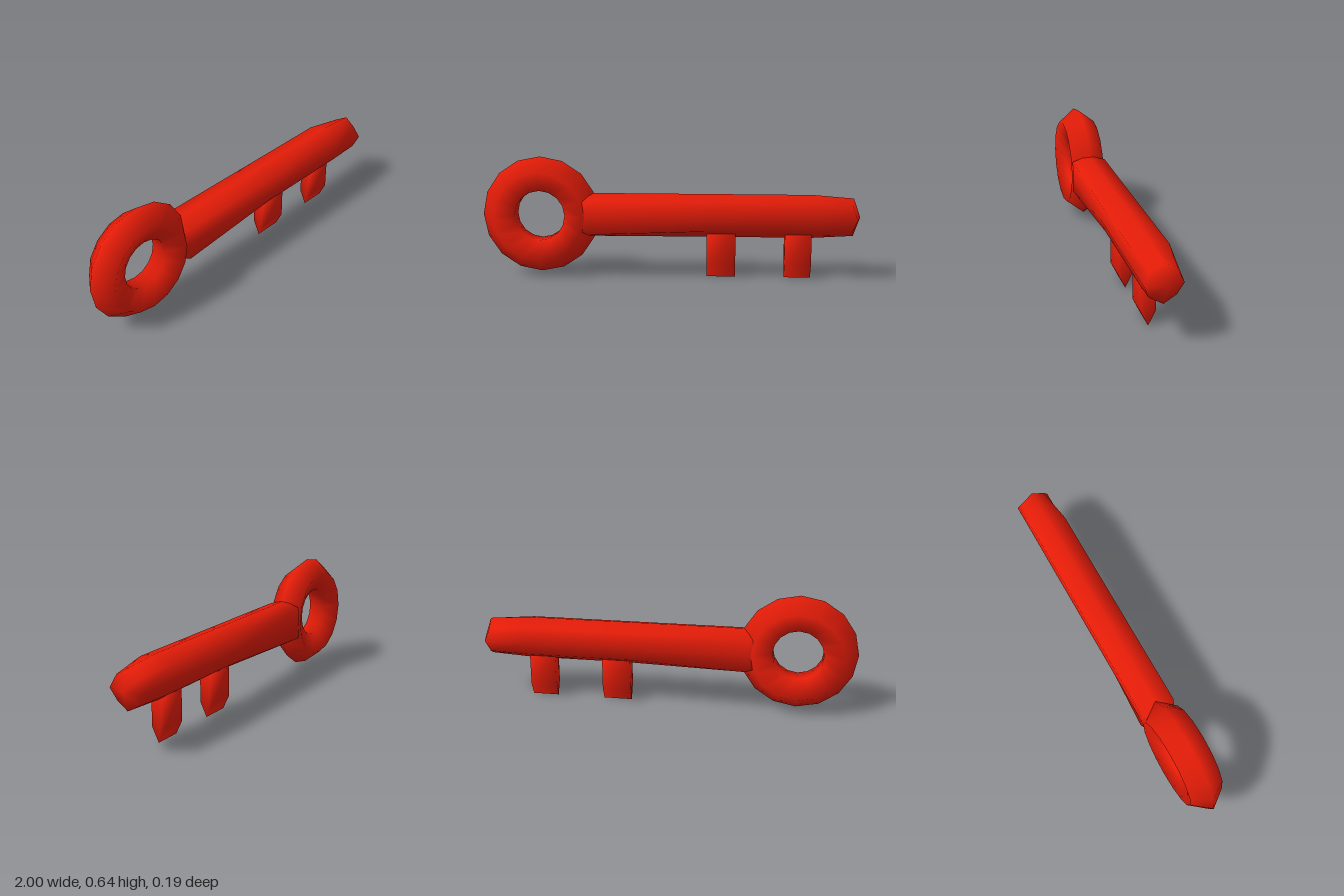
import * as THREE from 'three';
import { mergeVertices, toCreasedNormals } from 'three/addons/utils/BufferGeometryUtils.js';

const AXIS_Y = 0.33;

// Skin a row of cross-section loops, each a list of [x, y, z]
function skin(loops, closed = false) {
  const n = loops[0].length, index = [];
  const rows = closed ? loops.length : loops.length - 1;
  for (let s = 0; s < rows; s++) {
    const here = s * n, next = ((s + 1) % loops.length) * n;
    for (let i = 0; i < n; i++) {
      const j = (i + 1) % n;
      index.push(here + i, here + j, next + i, here + j, next + j, next + i);
    }
  }
  const geometry = new THREE.BufferGeometry();
  geometry.setAttribute('position', new THREE.Float32BufferAttribute(loops.flat(2), 3));
  geometry.setIndex(index);
  const merged = mergeVertices(geometry);
  merged.computeVertexNormals();
  return merged;
}

// Eight-sided section from its right half, listed top to bottom as [y, z, x offset]
function section(x, half) {
  const side = half.map(([y, z, dx = 0]) => [x + dx, y, z]);
  const mirrored = side.slice(1, -1).reverse().map(([px, y, z]) => [px, y, -z]);
  return [...side, ...mirrored];
}

export function createModel() {
  const group = new THREE.Group();
  const red = new THREE.MeshStandardMaterial({ color: 0xe51c08 });
  red.name = 'red';

  const add = (name, geometry, x = 0, y = 0) => {
    const mesh = new THREE.Mesh(geometry, red);
    mesh.name = name;
    mesh.position.set(x, y, 0);
    group.add(mesh);
  };

  // Round handle with a five-sided tube
  const profile = [[0.31, 0], [0.237, 0.093], [0.133, 0.045], [0.133, -0.045], [0.237, -0.093]];
  const ring = [];
  for (let k = 0; k < 16; k++) {
    const a = -k * Math.PI / 8;
    ring.push(profile.map(([r, z]) => [r * Math.cos(a), r * Math.sin(a), z]));
  }
  add('ringHandle', skin(ring, true), -0.69, AXIS_Y);

  // Shaft: grows out of the ring, its underside narrows, then a blunt pointed tip
  const neck = [[0.4, 0], [0.385, 0.05], [AXIS_Y, 0.05], [0.275, 0.05], [0.26, 0]];
  const root = [[0.447, 0], [0.418, 0.093], [AXIS_Y, 0.093], [0.24, 0.093], [0.215, 0]];
  const body = [[0.447, 0], [0.418, 0.093], [AXIS_Y, 0.093], [0.258, 0.066], [0.217, 0]];
  const end = [
    [0.43, 0, -0.01], [0.393, 0.066, -0.02], [AXIS_Y, 0.093, 0], [0.265, 0.066, -0.02], [0.23, 0, -0.01],
  ];
  add('shaft', skin([
    section(-0.53, neck),
    section(-0.43, root),
    section(0.2, body),
    section(0.75, body),
    section(0.975, end),
    section(1, end.map(() => [AXIS_Y, 0])),
  ]));

  // Two teeth with a wedge-shaped lower edge
  const wedge = new THREE.Shape([
    [0, 0], [0.037, 0.075], [0.037, 0.25], [-0.037, 0.25], [-0.037, 0.075],
  ].map(([z, y]) => new THREE.Vector2(z, y)));
  for (const [name, x0, x1] of [['innerTooth', 0.196, 0.348], ['outerTooth', 0.607, 0.747]]) {
    const tooth = new THREE.ExtrudeGeometry(wedge, { depth: x1 - x0, bevelEnabled: false });
    tooth.rotateY(Math.PI / 2);
    add(name, toCreasedNormals(tooth, 1.6), x0);
  }

  return group;
}
